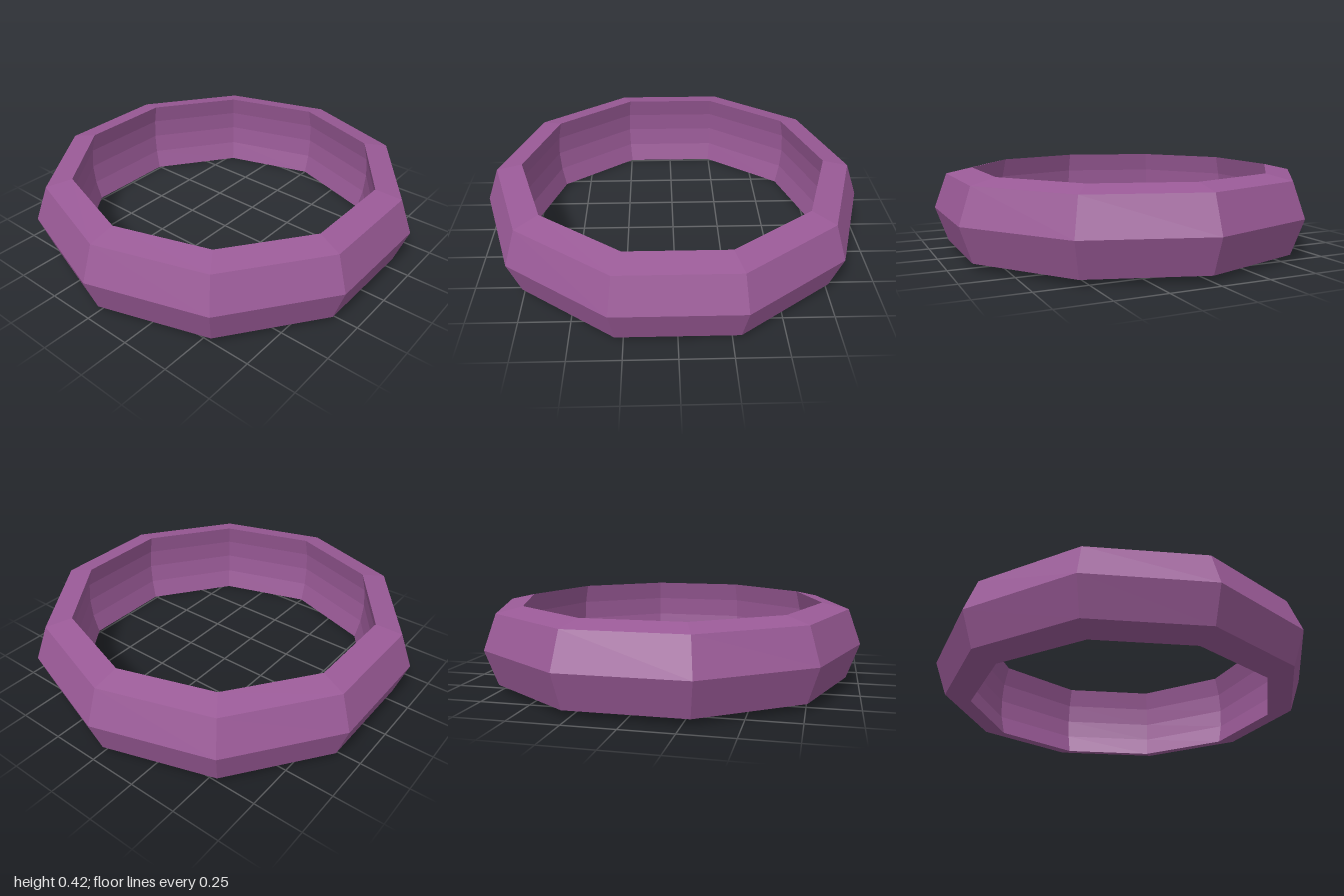
import * as THREE from 'three';

export function createModel() {
  const group = new THREE.Group();
  group.name = 'ring';
  const height = 0.42;

  // Closed cross-section (radius, y): up the bulging outside, down the hollowed inside
  const profile = [
    [0.8, 0], [0.935, 0.03], [1, height / 2], [0.935, height - 0.03], [0.8, height],
    [0.826, 0.315], [0.835, height / 2], [0.826, 0.105], [0.8, 0],
  ].map(([r, y]) => new THREE.Vector2(r, y));

  // Ten-sided band with corners on the x axis
  const band = new THREE.Mesh(
    new THREE.LatheGeometry(profile, 10, Math.PI / 2),
    new THREE.MeshStandardMaterial({ color: 0x9a5a97, flatShading: true })
  );
  band.name = 'band';
  group.add(band);
  return group;
}
